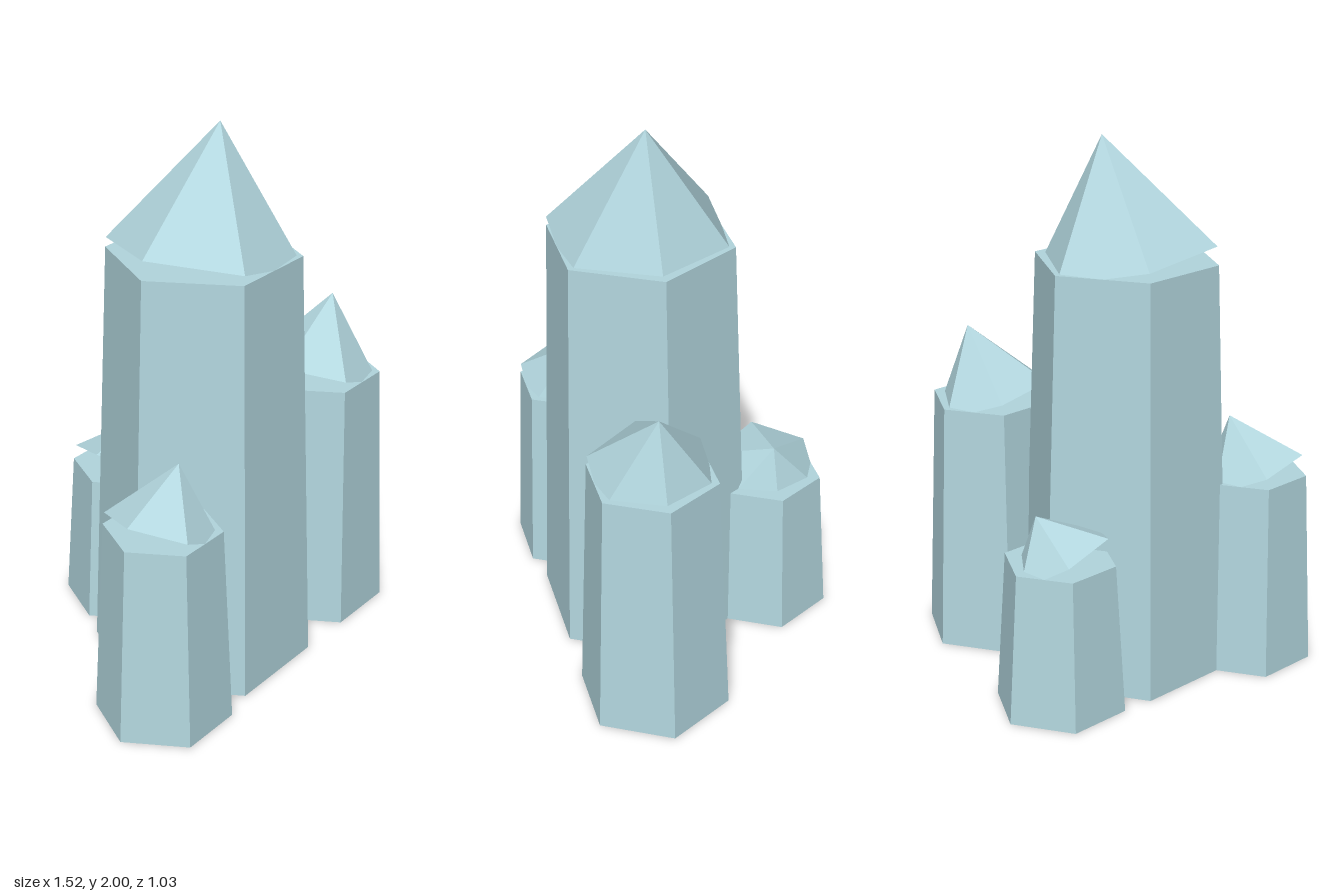
import * as THREE from 'three';

const SIDES = 6;
const TAPER = 0.85;

// One crystal: a tapered hexagonal shaft with a leaning pointed tip.
function crystal(name, { x, z, radius, height, tipRadius, tipHeight, lean }, material) {
  const group = new THREE.Group();
  group.name = name;
  group.position.set(x, 0, z);

  const shaftGeometry = new THREE.CylinderGeometry(radius * TAPER, radius, height, SIDES);
  shaftGeometry.rotateY(Math.PI / 6); // corners point along x
  shaftGeometry.translate(0, height / 2, 0);
  const shaft = new THREE.Mesh(shaftGeometry.toNonIndexed(), material);
  shaft.geometry.computeVertexNormals();
  shaft.name = 'shaft';

  // The tip pivots about the centre of the shaft's top face
  const tipGeometry = new THREE.ConeGeometry(tipRadius, tipHeight, SIDES);
  tipGeometry.rotateY(Math.PI / 6);
  tipGeometry.translate(0, tipHeight / 2, 0);
  const tip = new THREE.Mesh(tipGeometry.toNonIndexed(), material);
  tip.geometry.computeVertexNormals();
  tip.name = 'tip';
  tip.position.y = height;
  tip.rotation.z = -lean;

  group.add(shaft, tip);
  return group;
}

export function createModel() {
  const model = new THREE.Group();
  model.name = 'crystalCluster';

  const ice = new THREE.MeshStandardMaterial({ color: 0xb2d6de });
  ice.name = 'paleIceBlue';
  ice.flatShading = true;

  const crystals = {
    mainCrystal: { x: -0.075, z: 0.137, radius: 0.4, height: 1.56, tipRadius: 0.34, tipHeight: 0.449, lean: 0.2 },
    leftCrystal: { x: 0.479, z: 0.248, radius: 0.276, height: 0.952, tipRadius: 0.232, tipHeight: 0.287, lean: 0.33 },
    rightCrystal: { x: -0.518, z: 0.304, radius: 0.243, height: 0.738, tipRadius: 0.206, tipHeight: 0.225, lean: 0.4 },
    backCrystal: { x: 0.037, z: -0.306, radius: 0.243, height: 0.565, tipRadius: 0.206, tipHeight: 0.179, lean: 0.52 },
  };
  for (const [name, size] of Object.entries(crystals)) model.add(crystal(name, size, ice));

  return model;
}
